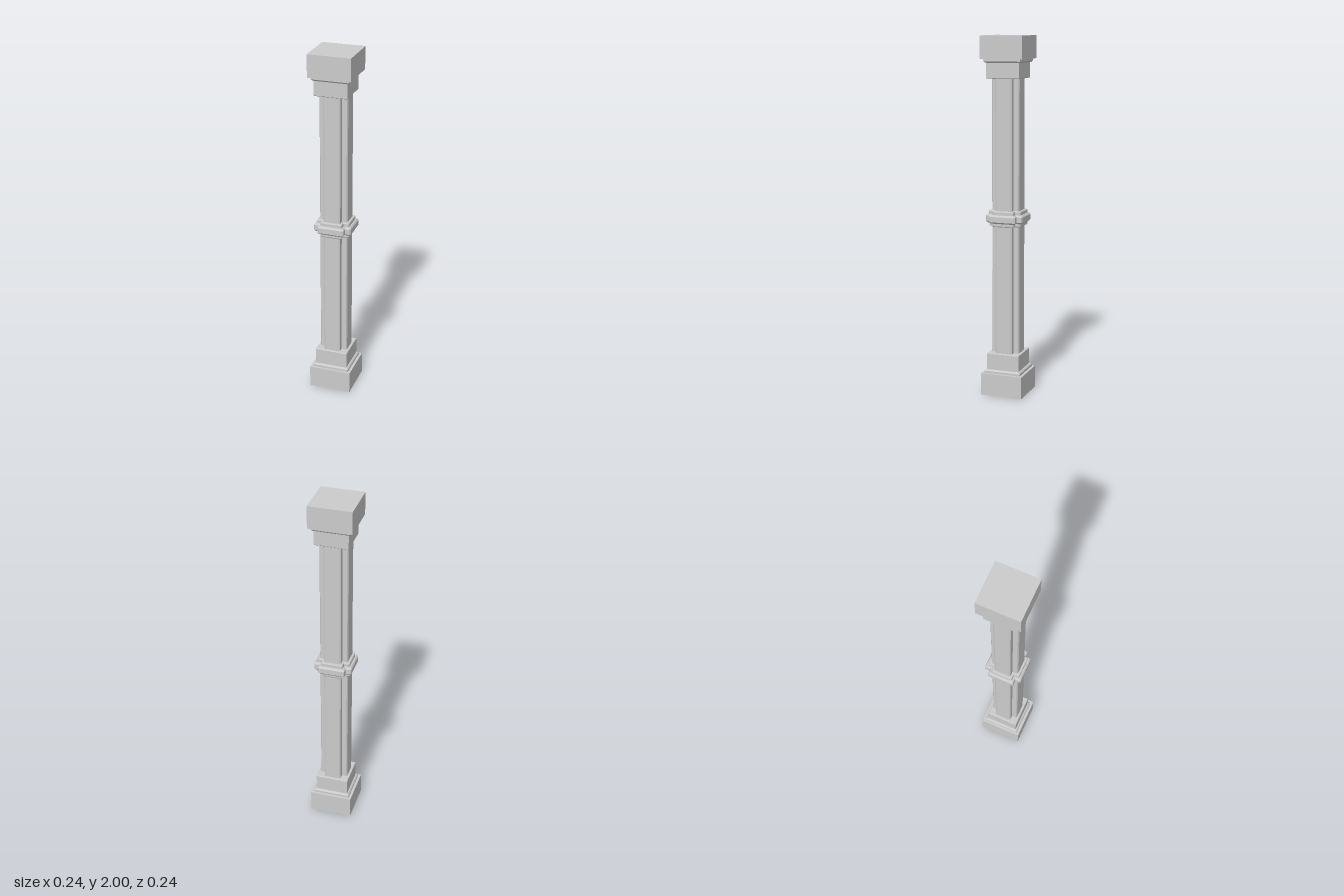
import * as THREE from 'three';

const material = new THREE.MeshStandardMaterial({ color: 0xcccccc, flatShading: true });

// Rotates one quarter of a plan outline around the axis (counter-clockwise from above)
function fourfold(quarter) {
  const ring = [];
  for (let k = 0; k < 4; k++) {
    for (const [x, z] of quarter) {
      let p = [x, z];
      for (let n = 0; n < k; n++) p = [p[1], -p[0]];
      ring.push(p);
    }
  }
  return ring;
}

// Square plan of half-width h
const square = (h) => fourfold([[h, -h]]);

// Cross plan with bevelled arm ends, grown outwards by d
const cross = (d) => {
  const r = 0.08 + d, w = 0.04 + d, b = 0.048 + d, s = 0.075 + d;
  return fourfold([[r, -w], [s, -b], [b, -b], [b, -s], [w, -r]]);
};

// Skins a stack of plan outlines; profile is a list of [plan size, y] going up
function loft(name, plan, profile) {
  const positions = [], index = [];
  const n = plan(0).length;
  for (const [size, y] of profile) {
    for (const [x, z] of plan(size)) positions.push(x, y, z);
  }
  for (let j = 0; j < profile.length - 1; j++) {
    for (let i = 0; i < n; i++) {
      const a = j * n + i, b = j * n + (i + 1) % n;
      index.push(a, b, b + n, a, b + n, a + n);
    }
  }
  const indexed = new THREE.BufferGeometry();
  indexed.setAttribute('position', new THREE.Float32BufferAttribute(positions, 3));
  indexed.setIndex(index);
  const geometry = indexed.toNonIndexed();
  geometry.computeVertexNormals();
  const mesh = new THREE.Mesh(geometry, material);
  mesh.name = name;
  return mesh;
}

export function createModel() {
  const column = new THREE.Group();
  column.name = 'column';

  // Plinth, moulding and block; the capital is the same stack upside down
  const foot = [
    [0, 0], [0.12, 0], [0.12, 0.125], [0.105, 0.125], [0.105, 0.137],
    [0.098, 0.145], [0.093, 0.145], [0.093, 0.235], [0.09, 0.238], [0, 0.238],
  ];
  const head = foot.map(([h, y]) => [h, 2 - (y > 0.2 ? y - 0.008 : y)]).reverse();
  column.add(loft('base', square, foot));
  column.add(loft('capital', square, head));

  // Cross-shaped shaft running into both blocks
  column.add(loft('shaft', cross, [[0, 0.2], [0, 1.8]]));

  // Moulded band around the middle, following the shaft's outline
  column.add(loft('middleBand', cross, [
    [0, 0.96], [0.01, 0.96], [0.013, 0.965], [0.013, 0.98], [0.02, 0.98],
    [0.027, 0.988], [0.027, 1.018], [0.02, 1.027], [0.013, 1.027],
    [0.013, 1.043], [0.01, 1.048], [0, 1.048],
  ]));

  return column;
}
